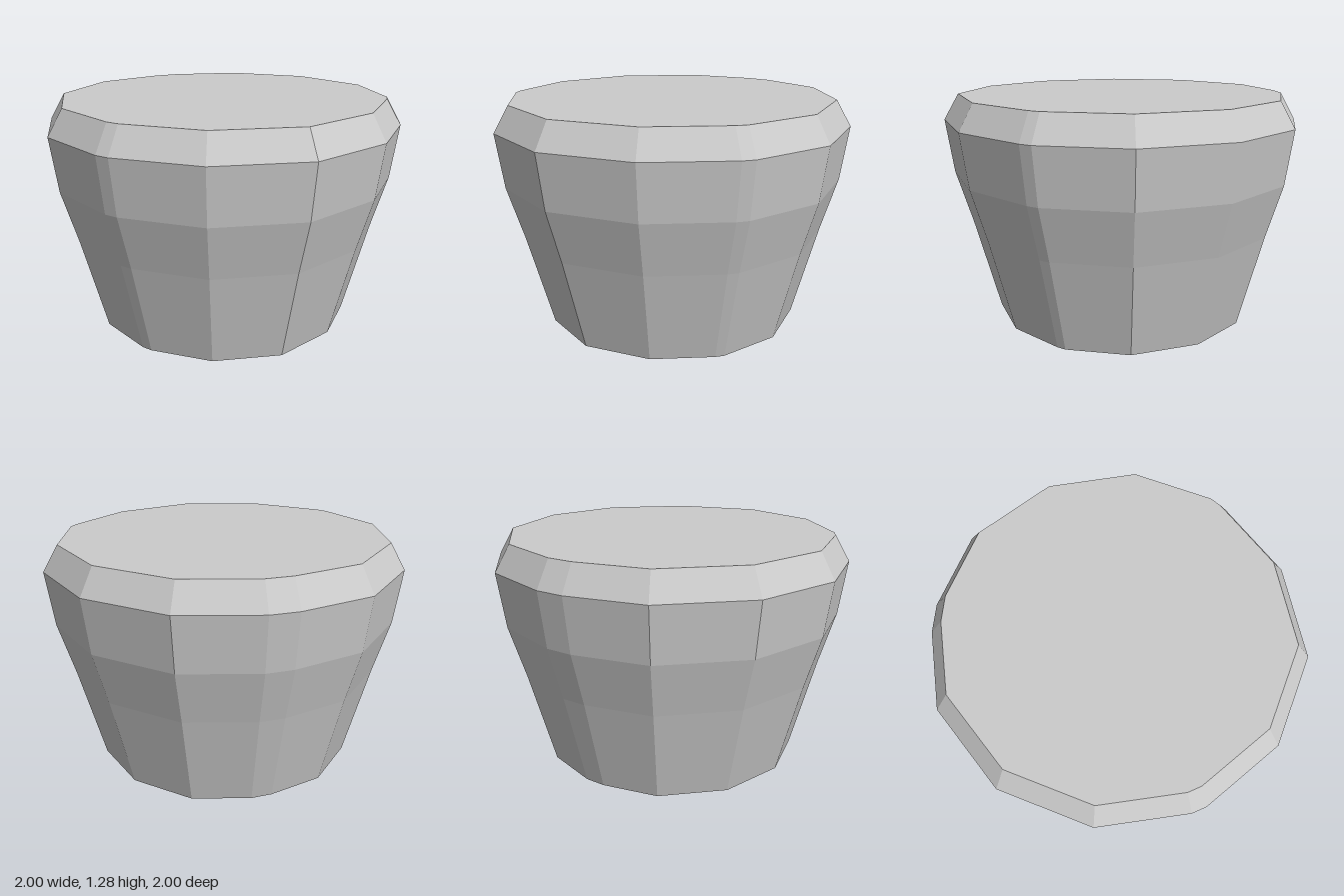
import * as THREE from 'three';

// Irregular faceted outline [x, z] at the widest ring
const OUTLINE = [
  [0, -1], [-0.495, -0.87], [-0.81, -0.56], [-0.885, -0.42], [-1, 0],
  [-0.865, 0.505], [-0.5, 0.87], [-0.035, 1], [0.045, 1], [0.51, 0.87],
  [0.88, 0.51], [0.995, 0], [0.885, -0.465], [0.855, -0.53], [0.51, -0.87],
];

// Rings from the base to the chamfered rim: [height, scale]
const RINGS = [[0, 0.727], [0.53, 0.867], [0.83, 0.957], [1.135, 1], [1.28, 0.917]];

function facetedBody() {
  const n = OUTLINE.length;
  const positions = [];
  const index = [];
  for (const [y, s] of RINGS) {
    for (const [x, z] of OUTLINE) positions.push(x * s, y, z * s);
  }

  // Side facets
  for (let r = 0; r < RINGS.length - 1; r++) {
    for (let i = 0; i < n; i++) {
      const j = (i + 1) % n;
      const a = r * n + i, b = r * n + j;
      index.push(a, b, b + n, a, b + n, a + n);
    }
  }

  // Flat base and top
  const top = (RINGS.length - 1) * n;
  for (let i = 1; i < n - 1; i++) {
    index.push(0, i + 1, i);
    index.push(top, top + i, top + i + 1);
  }

  const indexed = new THREE.BufferGeometry();
  indexed.setAttribute('position', new THREE.Float32BufferAttribute(positions, 3));
  indexed.setIndex(index);
  const geometry = indexed.toNonIndexed();
  geometry.computeVertexNormals();
  return geometry;
}

export function createModel() {
  const group = new THREE.Group();
  group.name = 'taperedBlock';
  const material = new THREE.MeshStandardMaterial({ color: 0xcccccc, flatShading: true });
  const body = new THREE.Mesh(facetedBody(), material);
  body.name = 'body';
  group.add(body);
  return group;
}
